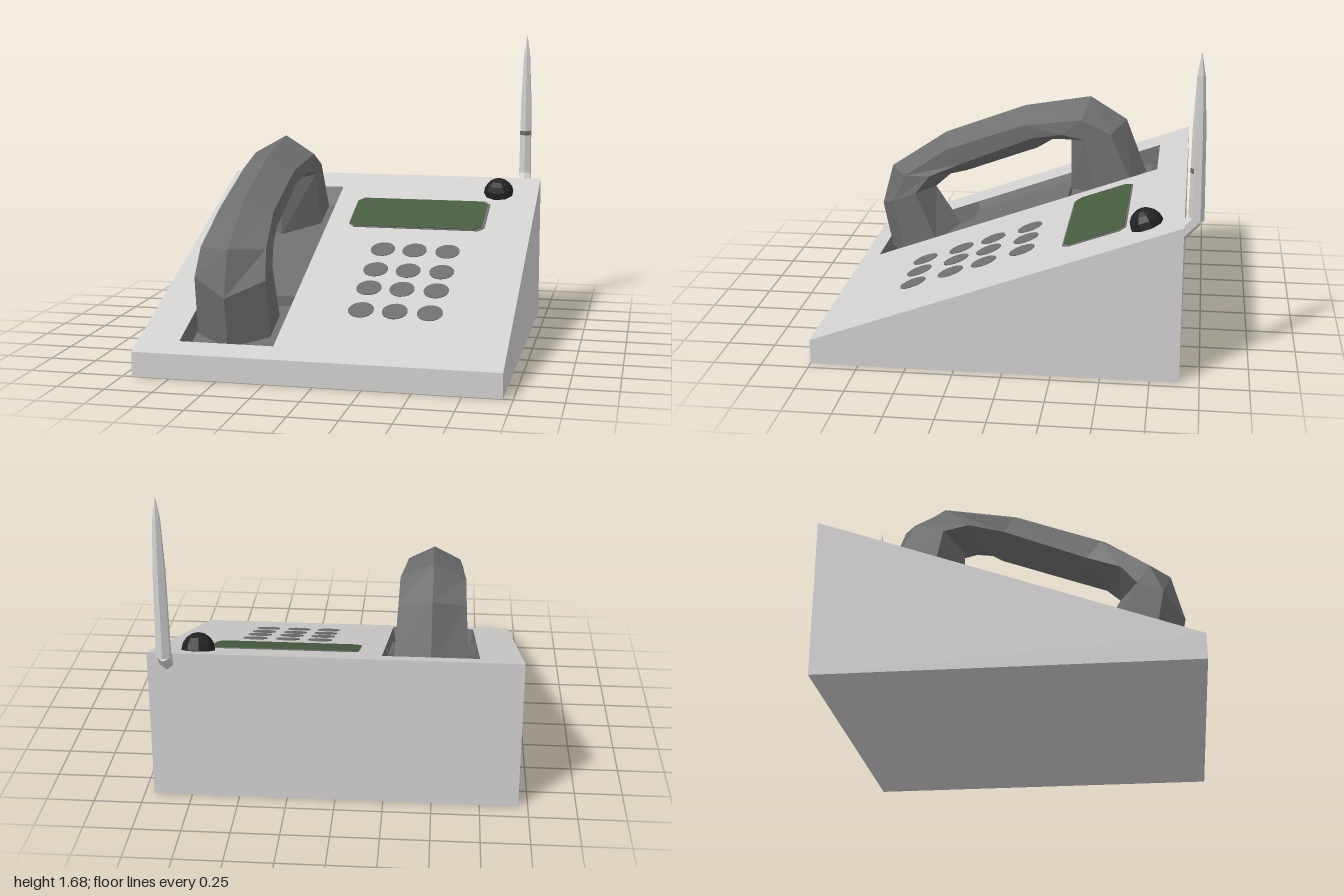
import * as THREE from 'three';

const mat = (name, color) => new THREE.MeshStandardMaterial({ name, color, flatShading: true });

// Height of the sloping top at depth z, and a point sunk d below it
const topY = z => 0.13 + (1 - z) * 0.363;
const onTop = (x, z, d = 0) => [x, topY(z) - d, z];

// Faceted geometry from counter-clockwise polygons
function facets(polys) {
  const pos = [];
  for (const p of polys)
    for (let i = 1; i < p.length - 1; i++) pos.push(...p[0], ...p[i], ...p[i + 1]);
  const g = new THREE.BufferGeometry();
  g.setAttribute('position', new THREE.Float32BufferAttribute(pos, 3));
  g.computeVertexNormals();
  return g;
}

export function createModel() {
  const model = new THREE.Group();
  const casing = mat('casing grey', 0xd2cfcf);
  const darkGrey = mat('dark grey', 0x6e6e6e);
  const green = mat('screen green', 0x475c40);
  const black = mat('knob black', 0x222222);
  const add = (name, geo, material, parent = model) => {
    const m = new THREE.Mesh(geo, material);
    m.name = name;
    parent.add(m);
    return m;
  };

  // Wedge casing with an opening for the cradle
  const W = 0.95, F = 1, B = -0.9;
  const x0 = -0.73, x1 = -0.23, z0 = -0.73, z1 = 0.89;
  const topRect = (xa, xb, za, zb) =>
    [onTop(xa, zb), onTop(xb, zb), onTop(xb, za), onTop(xa, za)];
  const floor = (x, z) => [x, 0, z];
  add('casing', facets([
    topRect(-W, x0, B, F), topRect(x1, W, B, F),
    topRect(x0, x1, B, z0), topRect(x0, x1, z1, F),
    [floor(-W, F), floor(W, F), onTop(W, F), onTop(-W, F)],
    [floor(W, B), floor(-W, B), onTop(-W, B), onTop(W, B)],
    [floor(W, F), floor(W, B), onTop(W, B), onTop(W, F)],
    [floor(-W, B), floor(-W, F), onTop(-W, F), onTop(-W, B)],
    [floor(-W, B), floor(W, B), floor(W, F), floor(-W, F)],
  ]), casing);

  // Cradle: a shallow tray with a deeper pocket at each end, [z, depth]
  const tray = [[z0, 0], [-0.69, 0.1], [-0.21, 0.1], [-0.21, 0.045],
    [0.37, 0.045], [0.37, 0.1], [0.86, 0.1], [z1, 0]];
  const trayFaces = [];
  for (let i = 0; i < tray.length - 1; i++) {
    const [za, da] = tray[i], [zb, db] = tray[i + 1];
    const ia = da ? 0.015 : 0, ib = db ? 0.015 : 0;
    const la = onTop(x0 + ia, za, da), lb = onTop(x0 + ib, zb, db);
    const ra = onTop(x1 - ia, za, da), rb = onTop(x1 - ib, zb, db);
    trayFaces.push([lb, rb, ra, la]);
    trayFaces.push([onTop(x0, za), onTop(x0, zb), lb, la]);
    trayFaces.push([onTop(x1, zb), onTop(x1, za), ra, rb]);
  }
  add('cradle', facets(trayFaces), darkGrey);

  // Handset: six-sided sections swept along an arch.
  // Each row: outer ridge, upper side, lower side, inner ridge as z, y; then half width
  const sections = [
    [0.86, 0.14, 0.75, 0.18, 0.56, 0.25, 0.44, 0.30, 0.195],
    [0.915, 0.41, 0.81, 0.49, 0.68, 0.54, 0.59, 0.53, 0.19],
    [0.85, 0.65, 0.745, 0.64, 0.60, 0.64, 0.50, 0.61, 0.175],
    [0.52, 0.87, 0.50, 0.80, 0.43, 0.71, 0.40, 0.635, 0.15],
    [0.05, 1.045, 0.05, 0.96, 0.00, 0.885, -0.02, 0.79, 0.148],
    [-0.33, 1.11, -0.29, 1.01, -0.18, 0.92, -0.11, 0.845, 0.175],
    [-0.54, 0.98, -0.46, 0.93, -0.31, 0.89, -0.22, 0.845, 0.178],
    [-0.66, 0.67, -0.58, 0.66, -0.37, 0.59, -0.22, 0.545, 0.195],
  ];
  const cx = -0.48;
  const rings = sections.map(([oz, oy, mz, my, nz, ny, pz, py, w]) => [
    [cx, oy, oz], [cx + w, my, mz], [cx + w, ny, nz],
    [cx, py, pz], [cx - w, ny, nz], [cx - w, my, mz],
  ]);
  const skin = [rings[0].slice().reverse(), rings[rings.length - 1]];
  for (let i = 0; i < rings.length - 1; i++)
    for (let j = 0; j < 6; j++) {
      const k = (j + 1) % 6;
      skin.push([rings[i][j], rings[i][k], rings[i + 1][k], rings[i + 1][j]]);
    }
  add('handset', facets(skin), darkGrey);

  // Flat details lie in a frame tilted to the slope
  const tilt = Math.atan(0.363);
  const place = (mesh, x, z, lift = 0) => {
    mesh.position.set(x, topY(z) + lift, z);
    mesh.rotation.x = tilt;
    return mesh;
  };

  // Keypad
  const keypad = new THREE.Group();
  keypad.name = 'keypad';
  model.add(keypad);
  const keyGeo = new THREE.CylinderGeometry(0.068, 0.068, 0.008, 16);
  keyGeo.scale(1, 1, 1 / Math.cos(tilt));
  for (const z of [-0.05, 0.155, 0.335, 0.54])
    for (const x of [0.15, 0.33, 0.515]) place(add('key', keyGeo, darkGrey, keypad), x, z);

  // Display with a thin surround
  const plate = (w, h, c, t) => {
    const a = w / 2, b = h / 2;
    const s = new THREE.Shape([[-a + c, -b], [a - c, -b], [a, -b + c], [a, b - c],
      [a - c, b], [-a + c, b], [-a, b - c], [-a, -b + c]].map(p => new THREE.Vector2(...p)));
    return new THREE.ExtrudeGeometry(s, { depth: t, bevelEnabled: false }).rotateX(-Math.PI / 2);
  };
  place(add('displaySurround', plate(0.79, 0.348, 0.035, 0.004), darkGrey), 0.293, -0.44);
  place(add('displayScreen', plate(0.772, 0.33, 0.035, 0.008), green), 0.286, -0.44);

  // Round knob
  const knob = add('knob', new THREE.SphereGeometry(0.088, 9, 8), black);
  place(knob, 0.72, -0.71, 0.004);

  // Aerial: bent foot out of the back, tapering rod, band on the front
  const ax = 0.85, az = -0.957;
  const aerial = new THREE.Group();
  aerial.name = 'aerial';
  model.add(aerial);
  const rod = [[0, 0.82], [0.04, 0.83], [0.033, 1.3], [0.02, 1.56], [0, 1.68]];
  add('aerialRod', new THREE.LatheGeometry(rod.map(p => new THREE.Vector2(...p)), 6), casing, aerial)
    .position.set(ax, 0, az);
  const from = new THREE.Vector3(ax, 0.755, -0.875), to = new THREE.Vector3(ax, 0.84, az);
  const dir = to.clone().sub(from);
  const foot = add('aerialFoot', new THREE.CylinderGeometry(0.038, 0.038, dir.length(), 6), casing, aerial);
  foot.position.copy(from).add(to).multiplyScalar(0.5);
  foot.quaternion.setFromUnitVectors(new THREE.Vector3(0, 1, 0), dir.normalize());
  add('aerialBand', new THREE.CylinderGeometry(0.038, 0.038, 0.025, 2, 1, true,
    -Math.PI / 3, Math.PI * 2 / 3), darkGrey, aerial).position.set(ax, 1.09, az);

  return model;
}
